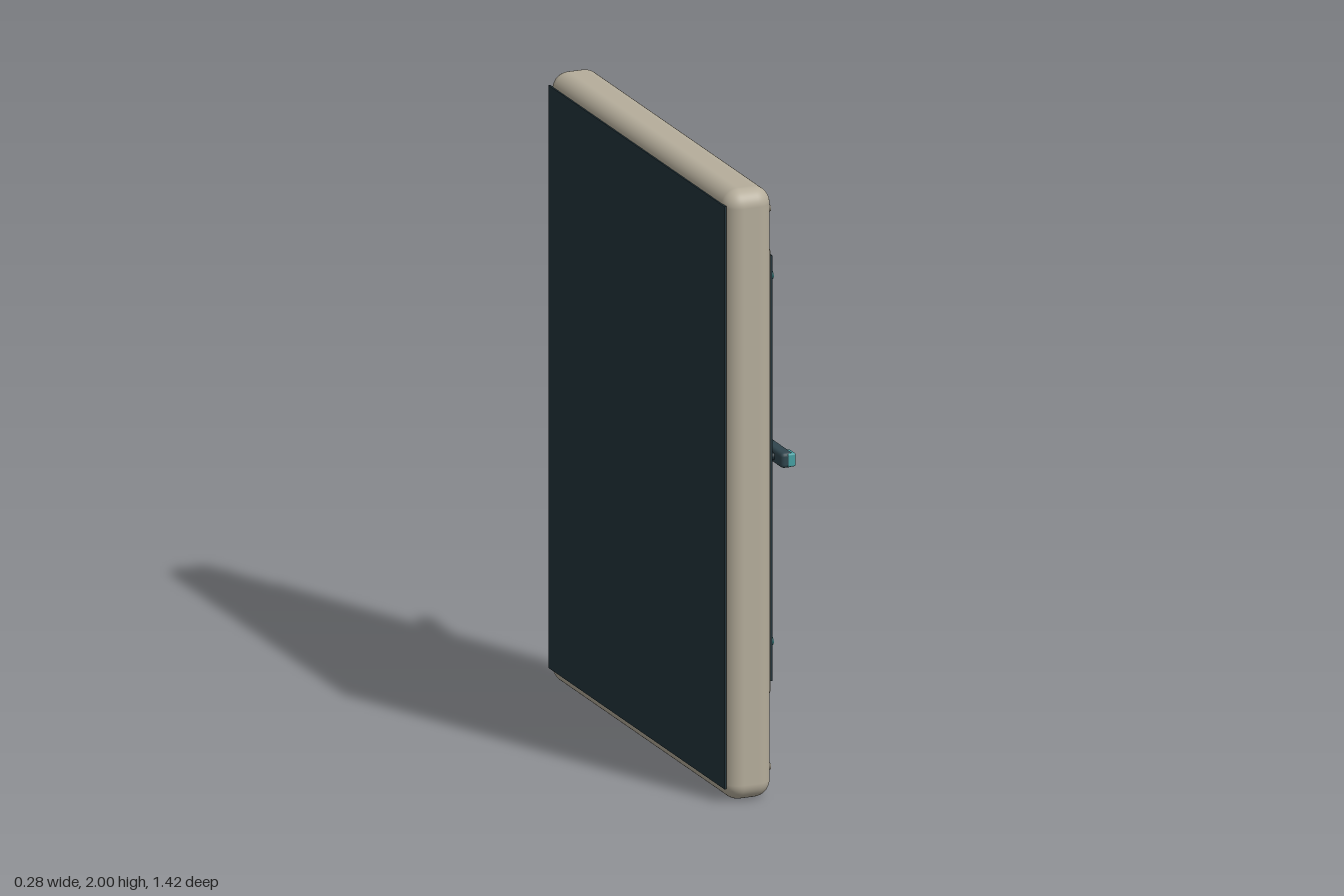
import * as THREE from 'three';
import { RoundedBoxGeometry } from 'three/addons/geometries/RoundedBoxGeometry.js';

const mat = (name, color) => {
  const m = new THREE.MeshStandardMaterial({ color });
  m.name = name;
  return m;
};

export function createModel() {
  const group = new THREE.Group();
  const beige = mat('warm beige', 0xb5ad9b);
  const slate = mat('slate', 0x30454d);
  const dark = mat('dark slate', 0x22333a);
  const cyan = mat('cyan', 0x22b4d2);
  const teal = mat('teal', 0x46a0a2);

  // Box given by its limits on each axis, optionally with rounded edges
  function box(name, m, [x0, x1], [y0, y1], [z0, z1], r = 0) {
    const size = [x1 - x0, y1 - y0, z1 - z0];
    const geo = r ? new RoundedBoxGeometry(...size, r > 0.02 ? 6 : 2, r) : new THREE.BoxGeometry(...size);
    const mesh = new THREE.Mesh(geo, m);
    mesh.position.set((x0 + x1) / 2, (y0 + y1) / 2, (z0 + z1) / 2);
    mesh.name = name;
    group.add(mesh);
  }

  // Short round stud facing +x
  function stud(name, m, x, y, z, radius, depth) {
    const mesh = new THREE.Mesh(new THREE.CylinderGeometry(radius, radius, depth, 16), m);
    mesh.rotation.z = -Math.PI / 2;
    mesh.position.set(x, y, z);
    mesh.name = name;
    group.add(mesh);
  }

  // Flat rectangular ring facing +x
  function ring(name, m, [x0, x1], [y0, y1], [z0, z1], t) {
    const rect = (C, a, b, c, d) => {
      const s = new C();
      s.moveTo(a, b).lineTo(c, b).lineTo(c, d).lineTo(a, d).closePath();
      return s;
    };
    const shape = rect(THREE.Shape, -z1, y0, -z0, y1);
    shape.holes.push(rect(THREE.Path, -z1 + t, y0 + t, -z0 - t, y1 - t));
    const geo = new THREE.ExtrudeGeometry(shape, { depth: x1 - x0, bevelEnabled: false });
    const mesh = new THREE.Mesh(geo, m);
    mesh.rotation.y = Math.PI / 2;
    mesh.position.x = x0;
    mesh.name = name;
    group.add(mesh);
  }

  // Housing and rear cover
  box('housing', beige, [-0.135, 0.025], [0, 2], [-0.71, 0.71], 0.055);
  box('backPlate', dark, [-0.139, -0.132], [0.045, 1.955], [-0.69, 0.69]);
  for (const y of [0.09, 1.92]) for (const z of [-0.655, 0.655]) {
    stud('screw', beige, 0.025, y, z, 0.011, 0.012);
    stud('screwSocket', dark, 0.031, y, z, 0.005, 0.002);
  }

  // Bezel and screen
  box('bezel', beige, [0.01, 0.036], [0.322, 1.787], [-0.655, 0.655], 0.01);
  box('screenBase', slate, [0.03, 0.05], [0.355, 1.75], [-0.618, 0.618]);
  ring('screenFrame', dark, [0.05, 0.056], [0.355, 1.75], [-0.618, 0.618], 0.02);
  box('screenPane', slate, [0.045, 0.062], [0.38, 1.727], [-0.595, 0.595], 0.005);
  box('screenLineAcross', teal, [0.06, 0.064], [1.634, 1.640], [-0.075, 0.545]);
  box('screenLineDown', teal, [0.06, 0.064], [1.12, 1.59], [0.502, 0.507]);

  // Guide rails with end studs, and the posts that hold the sliding bar
  for (const z of [-0.553, 0.553]) {
    box('rail', dark, [0.055, 0.079], [0.46, 1.67], [z - 0.01, z + 0.01]);
    box('railStrip', teal, [0.078, 0.082], [0.47, 1.66], [z - 0.005, z + 0.005]);
    for (const y of [0.465, 1.665]) stud('railStud', teal, 0.073, y, z, 0.014, 0.02);
    stud('barPost', dark, 0.08, 1.07, z, 0.012, 0.04);
  }

  // Sliding bar
  box('slidingBar', slate, [0.087, 0.13], [1.045, 1.095], [-0.618, 0.618], 0.012);
  box('barStrip', cyan, [0.127, 0.134], [1.06, 1.081], [-0.57, 0.57]);
  for (const s of [-1, 1]) {
    const z = s * 0.594;
    box('barEndCap', teal, [0.108, 0.137], [1.048, 1.092], [z - 0.025, z + 0.025], 0.006);
  }

  // Upper console with slots and lamps
  box('upperConsole', slate, [0.015, 0.036], [1.79, 1.93], [-0.548, 0.548], 0.006);
  for (let i = 0; i < 13; i++) {
    const z = -0.3 + i * 0.05;
    box('upperSlot', dark, [0.033, 0.04], [1.863, 1.9], [z - 0.007, z + 0.007]);
  }
  for (const z of [0.472, -0.467, -0.522]) stud('lamp', cyan, 0.037, 1.867, z, 0.011, 0.012);
  stud('paleLamp', beige, 0.037, 1.867, 0.525, 0.01, 0.012);

  // Lower console with tray slot and vents
  box('lowerConsole', slate, [0.015, 0.037], [0.08, 0.328], [-0.617, 0.617], 0.006);
  box('consoleStrip', teal, [0.03, 0.042], [0.328, 0.337], [-0.61, 0.61]);
  ring('slotFrame', dark, [0.035, 0.052], [0.162, 0.262], [-0.29, 0.29], 0.022);
  box('slotPlate', beige, [0.035, 0.045], [0.182, 0.242], [-0.27, 0.27]);
  for (const s of [-1, 1]) for (const z of [0.405, 0.448, 0.492]) {
    box('vent', dark, [0.034, 0.043], [0.167, 0.243], [s * z - 0.008, s * z + 0.008]);
  }

  return group;
}
